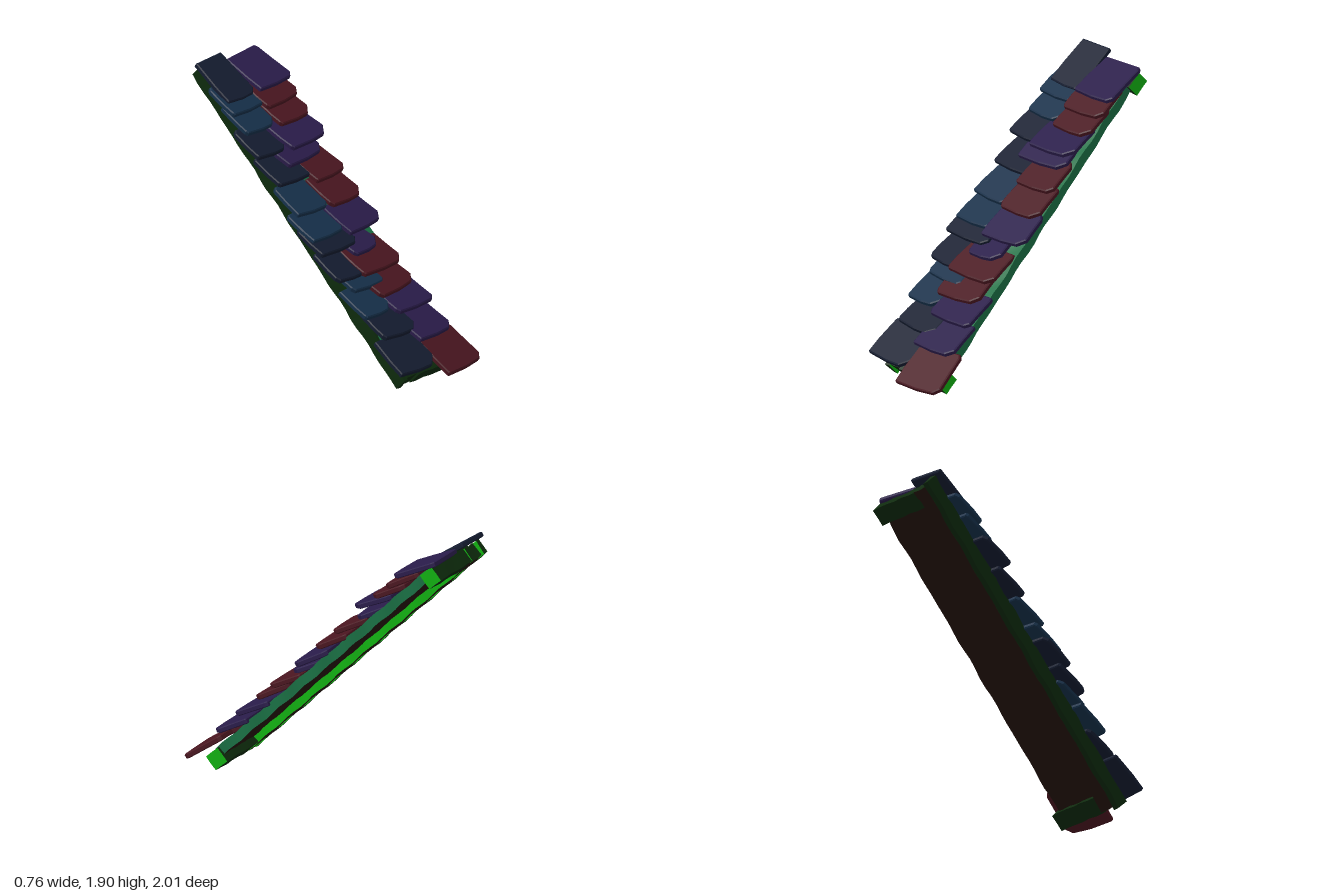
import * as THREE from 'three';

const mat = (color) => new THREE.MeshStandardMaterial({ color });

// Small seeded generator returning values in -1..1
let seed = 7;
const jitter = () => {
  seed = (seed * 16807) % 2147483647;
  return (seed / 2147483647) * 2 - 1;
};

// Rough-hewn timber: a subdivided box whose faces waver along its length.
// Spans are given as [min, max] on the slope frame (x across, d off the slope, s up the slope).
function timber(name, x, d, s, materials, wobble = 0.004) {
  const size = [x[1] - x[0], d[1] - d[0], s[1] - s[0]];
  const seg = size.map((v) => Math.max(1, Math.round(v / 0.07)));
  const geo = new THREE.BoxGeometry(...size, ...seg);
  const p = geo.attributes.position;
  for (let i = 0; i < p.count; i++) {
    const [a, b, c] = [p.getX(i), p.getY(i), p.getZ(i)];
    p.setXYZ(i,
      a + wobble * Math.sin(c * 17 + b * 31),
      b + wobble * Math.sin(c * 23 + a * 29 + 1),
      c + wobble * Math.sin(a * 37 + b * 19 + 2));
  }
  geo.computeVertexNormals();
  const mesh = new THREE.Mesh(geo, materials);
  mesh.name = name;
  mesh.position.set((x[0] + x[1]) / 2, (d[0] + d[1]) / 2, -(s[0] + s[1]) / 2);
  return mesh;
}

// Wooden shingle with worn corners; the lower edge lies on y = 0 of its shape
function shingleGeometry(width, length, thickness) {
  const w = width / 2;
  const chip = () => 0.025 + 0.015 * jitter();
  const [a, b, c, e] = [chip(), chip() * 1.8, chip(), chip()];
  const shape = new THREE.Shape([
    [-w + a * 0.6, 0.006], [0, -0.006], [w - b, 0], [w, b], [w - 0.008, length * 0.55],
    [w - 0.012, length - c], [w - c, length], [-w + e, length - 0.006],
    [-w + 0.01, length - e], [-w, length * 0.4], [-w + 0.004, a],
  ].map(([x, y]) => new THREE.Vector2(x, y)));
  return new THREE.ExtrudeGeometry(shape, {
    depth: thickness - 0.012, bevelThickness: 0.006, bevelSize: 0.008,
    bevelOffset: -0.008, bevelSegments: 1,
  });
}

export function createModel() {
  seed = 7;
  const model = new THREE.Group();
  model.name = 'roofSection';

  const bright = mat(0x12b312);
  const dark = mat(0x0d2a0c);
  const moss = mat(0x1a7044);
  const brown = mat(0x24140c);

  // Timber frame, laid on a 45 degree slope
  const frame = new THREE.Group();
  frame.name = 'frame';
  frame.rotation.x = Math.PI / 4;
  const beamFaces = [bright, dark, dark, dark, dark, dark];
  frame.add(
    timber('boarding', [-0.25, 0.24], [0.62, 0.685], [-0.46, 1.87], [moss, moss, moss, brown, dark, dark]),
    timber('outerRafter', [-0.27, -0.23], [0.568, 0.67], [-0.55, 1.965], beamFaces),
    timber('innerRafter', [-0.23, -0.12], [0.57, 0.67], [-0.535, 1.935], [bright, dark, dark, brown, dark, dark]),
    timber('lowerCrossbeam', [-0.13, 0.265], [0.57, 0.68], [-0.545, -0.425], beamFaces, 0.003),
    timber('upperCrossbeam', [-0.13, 0.265], [0.57, 0.68], [1.81, 1.93], beamFaces, 0.003),
  );
  model.add(frame);

  // Shingle courses: [left edge, right edge, height of lower edge, then where they
  // differ from the rest: lift (y + z of the lower edge), tilt in degrees, length]
  const rightCourses = [
    [-0.37, 0.0, 0.14, 1.055, 34, 0.31], [-0.31, 0.03, 0.33], [-0.35, -0.07, 0.46],
    [-0.31, 0.0, 0.6], [-0.38, -0.08, 0.67], [-0.38, 0.0, 0.82], [-0.37, -0.05, 0.9],
    [-0.36, -0.05, 1.04], [-0.35, 0.0, 1.21], [-0.38, -0.06, 1.37], [-0.34, -0.04, 1.5],
    [-0.35, -0.03, 1.61], [-0.32, -0.04, 1.67, 1.035, 34, 0.365],
  ];
  const leftCourses = [
    [0.0, 0.38, 0.08, 1.07, 34, 0.33], [-0.16, 0.17, 0.2, 1.02, 33, 0.26], [-0.05, 0.3, 0.28],
    [-0.08, 0.29, 0.44], [-0.13, 0.24, 0.55], [-0.16, 0.25, 0.67], [-0.1, 0.17, 0.77, 1.05],
    [-0.06, 0.31, 0.89], [-0.06, 0.28, 1.04], [-0.05, 0.27, 1.18], [-0.18, 0.22, 1.29, 1.05],
    [-0.11, 0.28, 1.39, 1.13, 24, 0.31], [-0.05, 0.28, 1.5, 1.09], [-0.06, 0.29, 1.6, 1.08],
    [-0.04, 0.3, 1.7, 1.1, 25, 0.34],
  ];
  const tints = [0x141c30, 0x4a1620, 0x16304a, 0x2a1c4a].map(mat);

  function layCourses(name, courses, usualLift, lean, firstTint) {
    const column = new THREE.Group();
    column.name = name;
    courses.forEach(([x0, x1, y, lift = usualLift, tilt = 28, length = 0.28], i) => {
      const shingle = new THREE.Mesh(
        shingleGeometry(x1 - x0, length, 0.036), tints[(i * 3 + firstTint + (i % 2)) % 4]);
      shingle.name = 'shingle';
      shingle.position.set((x0 + x1) / 2, y, lift - y);
      shingle.rotation.set(
        THREE.MathUtils.degToRad(tilt - 90 + 1.5 * jitter()),
        0.03 * jitter(),
        lean + 0.04 * jitter());
      column.add(shingle);
    });
    model.add(column);
  }
  layCourses('rightShingles', rightCourses, 1.05, 0.01, 0);
  layCourses('leftShingles', leftCourses, 1.078, 0.08, 1);

  return model;
}
